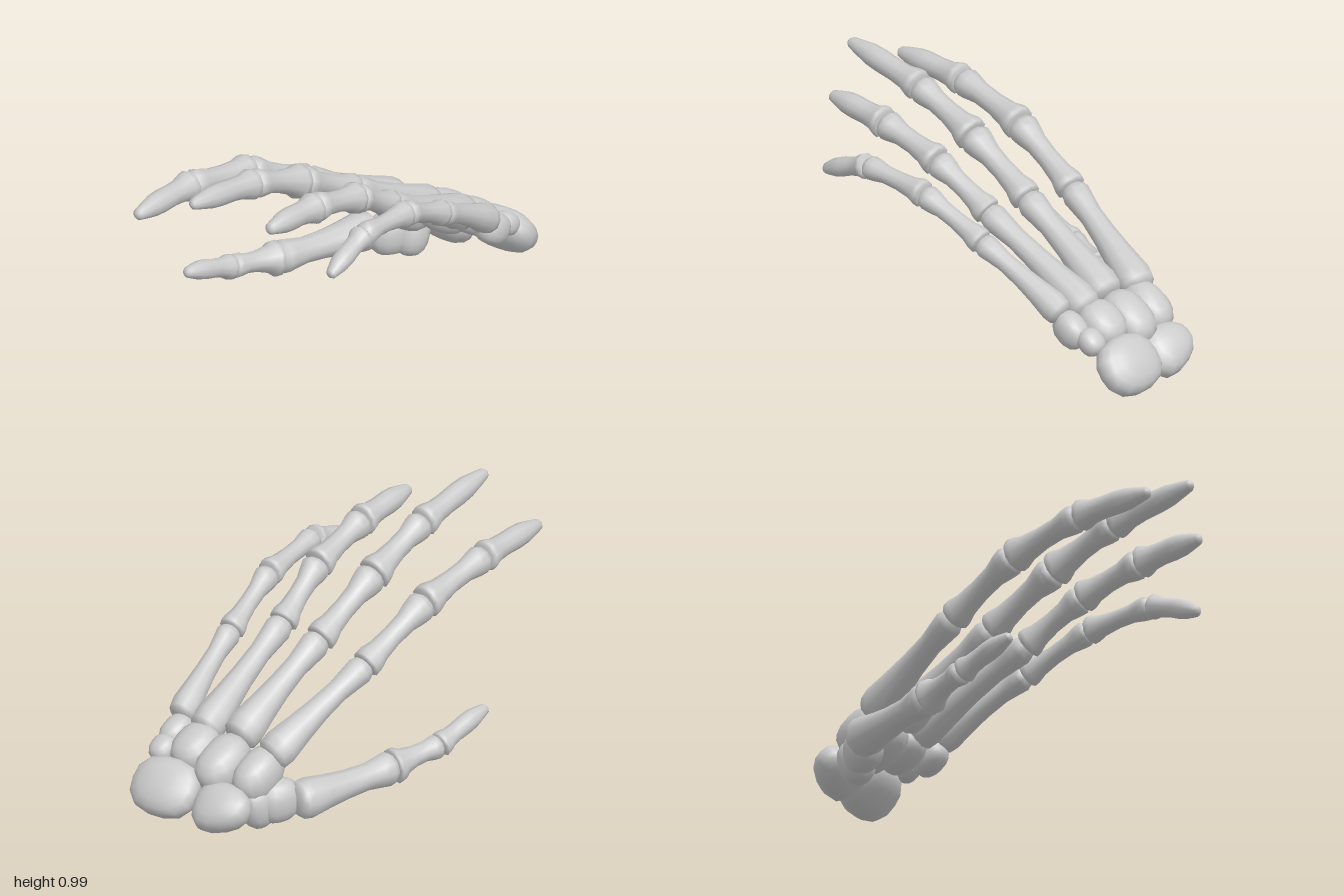
import * as THREE from 'three';
import { mergeVertices } from 'three/addons/utils/BufferGeometryUtils.js';

const V = (a) => new THREE.Vector3(...a);
const material = new THREE.MeshStandardMaterial({ color: 0xcccccc });

// Profiles: [position along the bone, share of the joint radius]
const METACARPAL = [[0, 0], [0, 0.66], [0.04, 0.92], [0.12, 1], [0.3, 0.86], [0.5, 0.74], [0.72, 0.7],
  [0.86, 0.84], [0.94, 0.93], [0.99, 0.78], [1.03, 0.4], [1.04, 0]];
const PHALANX = [[0, 0], [0, 0.8], [0.03, 1], [0.1, 0.98], [0.22, 0.78], [0.45, 0.67], [0.68, 0.69],
  [0.84, 0.87], [0.93, 0.93], [0.99, 0.78], [1.04, 0.4], [1.05, 0]];
const TIP = [[0, 0], [0, 0.8], [0.03, 1], [0.09, 0.97], [0.2, 0.78], [0.35, 0.74], [0.55, 0.79],
  [0.7, 0.75], [0.86, 0.56], [0.96, 0.42], [0.99, 0.25], [1, 0]];

// Weld the seam so the shading is smooth all round
function smooth(geometry) {
  geometry.deleteAttribute('uv');
  geometry.deleteAttribute('normal');
  const welded = mergeVertices(geometry, 1e-5);
  welded.computeVertexNormals();
  return welded;
}

// A turned bone from a to b, arched upwards by bend
function bone(name, a, b, r0, r1, profile, bend) {
  const axis = b.clone().sub(a), length = axis.length();
  const points = profile.map(([t, f]) =>
    new THREE.Vector2(f * THREE.MathUtils.lerp(r0, r1, Math.min(t, 1)), t * length));
  const geometry = new THREE.LatheGeometry(points, 10);
  geometry.applyQuaternion(new THREE.Quaternion().setFromUnitVectors(
    new THREE.Vector3(0, 1, 0), axis.clone().normalize()));
  const p = geometry.attributes.position;
  const v = new THREE.Vector3();
  for (let i = 0; i < p.count; i++) {
    const t = THREE.MathUtils.clamp(v.fromBufferAttribute(p, i).dot(axis) / (length * length), 0, 1);
    p.setY(i, p.getY(i) + bend * Math.sin(Math.PI * t));
  }
  const mesh = new THREE.Mesh(smooth(geometry), material);
  mesh.name = name;
  mesh.position.copy(a);
  return mesh;
}

// A pebble-shaped wrist bone: an ellipsoid with slightly squared sides,
// narrowed towards its right end by taper
function pebble(name, position, size, rotation, taper = 0) {
  const geometry = new THREE.SphereGeometry(1, 14, 10);
  const p = geometry.attributes.position;
  const v = new THREE.Vector3();
  const n = 2.5;
  for (let i = 0; i < p.count; i++) {
    v.fromBufferAttribute(p, i);
    v.multiplyScalar((Math.abs(v.x) ** n + Math.abs(v.y) ** n + Math.abs(v.z) ** n) ** (-1 / n));
    p.setXYZ(i, v.x * size[0], v.y * size[1], v.z * size[2] * (1 + taper * v.x));
  }
  const mesh = new THREE.Mesh(smooth(geometry), material);
  mesh.name = name;
  mesh.position.set(...position);
  mesh.rotation.set(...rotation);
  return mesh;
}

// Joint positions from the wrist to the fingertip, with the radius at each joint
const DIGITS = [
  { name: 'thumb', bend: -0.004, radii: [0.09, 0.08, 0.056, 0.055],
    joints: [[-0.3, 0.122, -0.575], [-0.412, 0.136, -0.09], [-0.47, 0.167, 0.14], [-0.487, 0.245, 0.42]] },
  { name: 'indexFinger', bend: 0.006, radii: [0.086, 0.067, 0.075, 0.068, 0.06],
    joints: [[-0.175, 0.295, -0.6], [-0.255, 0.56, -0.09], [-0.28, 0.73, 0.26], [-0.287, 0.807, 0.625], [-0.272, 0.815, 1]] },
  { name: 'middleFinger', bend: 0.006, radii: [0.088, 0.069, 0.077, 0.068, 0.06],
    joints: [[0.008, 0.32, -0.6], [0, 0.597, -0.09], [0, 0.77, 0.25], [0.008, 0.89, 0.57], [0.022, 0.96, 0.99]] },
  { name: 'ringFinger', bend: 0.006, radii: [0.082, 0.065, 0.069, 0.07, 0.06],
    joints: [[0.16, 0.32, -0.645], [0.215, 0.598, -0.08], [0.257, 0.755, 0.19], [0.279, 0.835, 0.49], [0.292, 0.86, 0.81]] },
  { name: 'littleFinger', bend: 0.008, radii: [0.067, 0.058, 0.06, 0.056, 0.055],
    joints: [[0.3, 0.34, -0.63], [0.38, 0.56, -0.22], [0.432, 0.695, 0.08], [0.465, 0.728, 0.395], [0.485, 0.638, 0.64]] },
];

export function createModel() {
  const hand = new THREE.Group();
  hand.name = 'handSkeleton';

  // Thumb and fingers
  for (const { name, bend, radii, joints } of DIGITS) {
    const digit = new THREE.Group();
    digit.name = name;
    const last = joints.length - 2;
    for (let i = 0; i <= last; i++) {
      const part = i === 0 ? 'Metacarpal' : i === last ? 'Tip' : 'Phalanx' + i;
      const profile = i === 0 ? METACARPAL : i === last ? TIP : PHALANX;
      digit.add(bone(name + part, V(joints[i]), V(joints[i + 1]), radii[i], radii[i + 1], profile,
        i === 0 ? bend : 0.004));
    }
    hand.add(digit);
  }

  // Wrist: two large rear bones, a front row below the fingers, and the thumb root
  const wrist = new THREE.Group();
  wrist.name = 'wrist';
  wrist.add(
    pebble('wristRearLeft', [0.155, 0.152, -0.885], [0.157, 0.08, 0.13], [-0.85, 0.1, 0.1]),
    pebble('wristRearRight', [-0.112, 0.125, -0.828], [0.132, 0.08, 0.108], [-0.75, 0.25, 0], 0.2),
    pebble('wristFrontIndex', [-0.16, 0.232, -0.655], [0.085, 0.095, 0.128], [-0.5, 0, 0]),
    pebble('wristFrontMiddle', [-0.005, 0.25, -0.705], [0.096, 0.094, 0.138], [-0.5, 0, 0]),
    pebble('wristFrontRing', [0.145, 0.276, -0.708], [0.094, 0.08, 0.112], [-0.5, 0, 0]),
    pebble('wristFrontLittle', [0.285, 0.28, -0.668], [0.062, 0.07, 0.085], [-0.5, 0, 0]),
    pebble('wristSideLittle', [0.268, 0.255, -0.775], [0.055, 0.05, 0.062], [-0.6, 0, 0]),
    pebble('thumbRoot', [-0.225, 0.115, -0.605], [0.075, 0.095, 0.1], [-0.1, -0.35, 0]),
    pebble('thumbRootRear', [-0.175, 0.102, -0.685], [0.075, 0.102, 0.075], [-0.3, -0.3, 0]),
  );
  hand.add(wrist);
  return hand;
}
